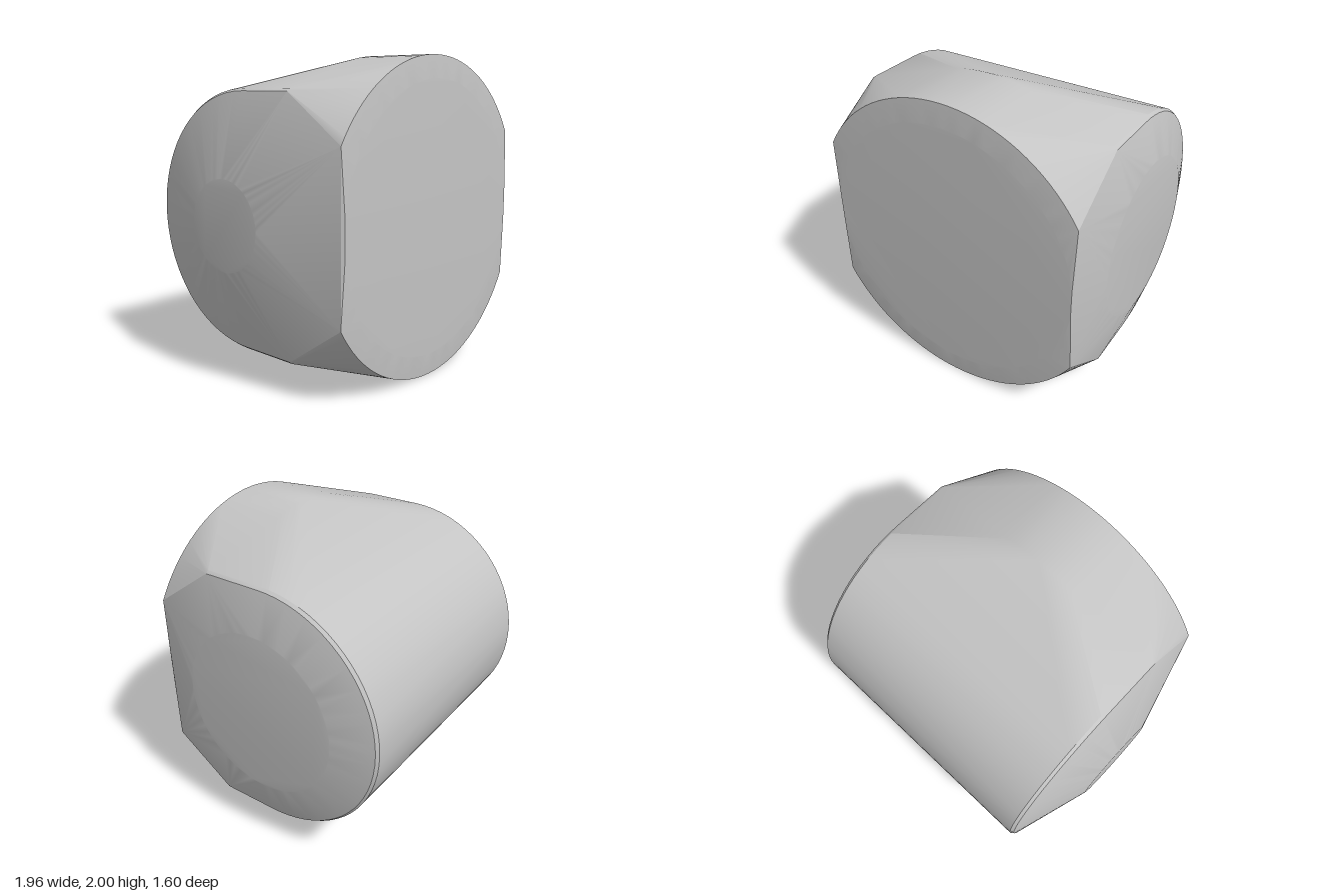
import * as THREE from 'three';
import { ConvexGeometry } from 'three/addons/geometries/ConvexGeometry.js';
import { toCreasedNormals } from 'three/addons/utils/BufferGeometryUtils.js';

const SEGMENTS = 72;
const MID_X = 0.035; // centre of the round front
const MID_Y = 1;

// Ring around the z axis, cut off straight at both sides
function frontRing(radius, z, minX, maxX) {
  const points = [];
  const start = Math.acos(Math.min(1, (maxX - MID_X) / radius));
  const end = Math.acos(Math.max(-1, (minX - MID_X) / radius));
  const n = SEGMENTS / 2;
  for (let i = 0; i <= n; i++) {
    const a = start + ((end - start) * i) / n;
    const x = MID_X + radius * Math.cos(a);
    const h = radius * Math.sin(a);
    points.push(new THREE.Vector3(x, MID_Y + h, z), new THREE.Vector3(x, MID_Y - h, z));
  }
  return points;
}

// Ring around the x axis
function sideRing(radius, x) {
  return Array.from({ length: SEGMENTS }, (_, i) => {
    const a = (i / SEGMENTS) * Math.PI * 2;
    return new THREE.Vector3(x, MID_Y + radius * Math.cos(a), radius * Math.sin(a));
  });
}

export function createModel() {
  const model = new THREE.Group();
  const grey = new THREE.MeshStandardMaterial({ color: 0xc4c4c4 });
  grey.name = 'light grey';

  const points = [
    // Round front with a very slightly raised face
    ...frontRing(1, 0.32, -0.83, 0.9),
    ...frontRing(1, 0.785, -0.83, 0.9),
    ...frontRing(0.86, 0.8, -0.815, 0.89),
    // Crosswise barrel with softened ends
    ...sideRing(0.8, -0.8),
    ...sideRing(0.785, -0.82),
    ...sideRing(0.8, 0.88),
    ...sideRing(0.785, 0.9),
    // Shallow conical side caps
    ...sideRing(0.28, -0.98),
    ...sideRing(0.53, 0.975),
  ];

  // Corner shoulders, above and below
  for (const s of [-1, 1]) {
    for (const [x, h] of [[-0.82, 0.785], [-0.8, 0.8], [0.88, 0.8], [0.9, 0.785]]) {
      points.push(new THREE.Vector3(x, MID_Y + s * h, 0.38));
    }
  }

  const body = new THREE.Mesh(toCreasedNormals(new ConvexGeometry(points), 0.4), grey);
  body.name = 'body';
  model.add(body);
  return model;
}
